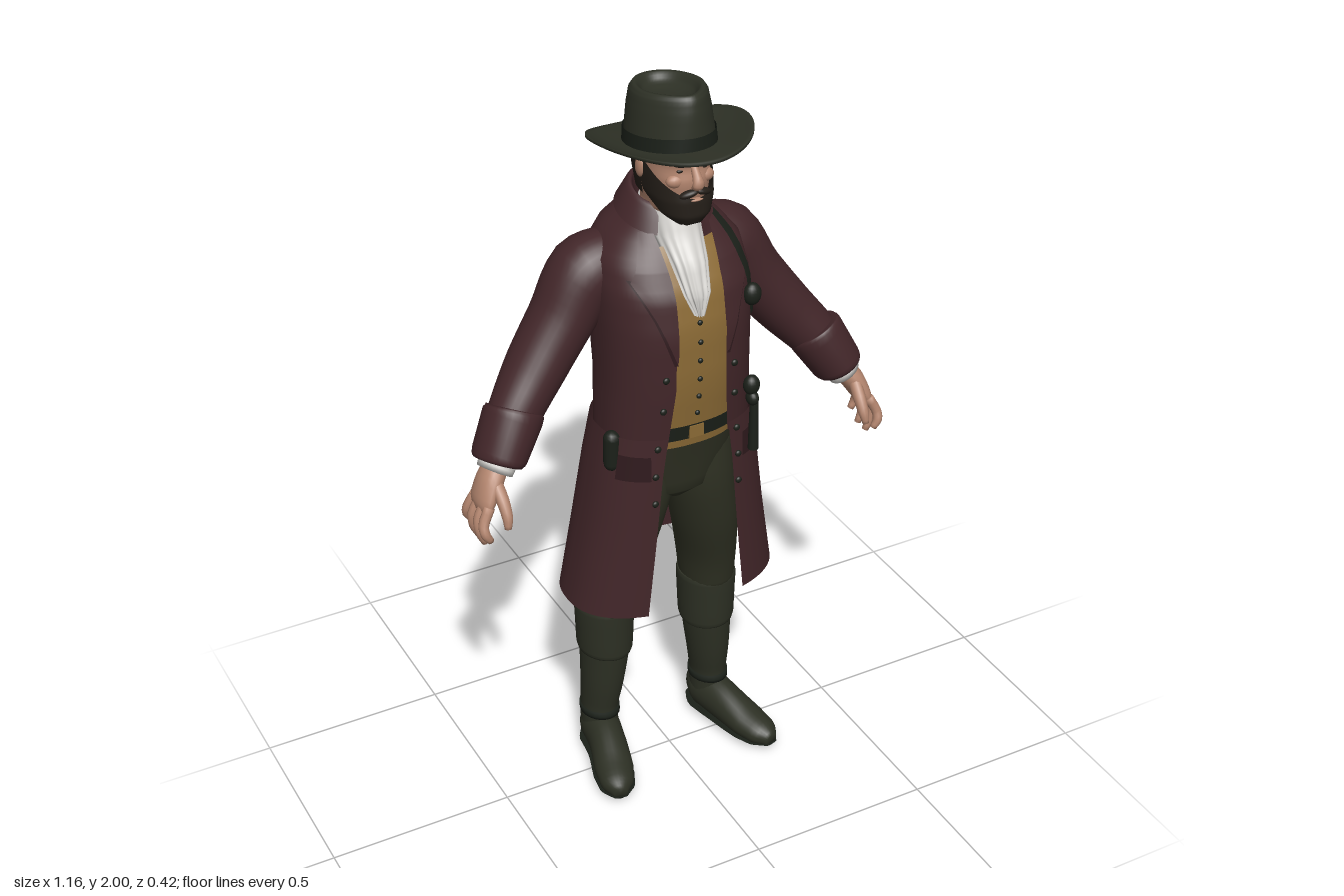
import * as THREE from 'three';
import { mergeVertices } from 'three/addons/utils/BufferGeometryUtils.js';

const material = (name, color) => new THREE.MeshStandardMaterial({ name, color, side: THREE.DoubleSide });
const M = {
  coat: material('coat burgundy', 0x422629), trim: material('dark burgundy', 0x2f1a1d),
  vest: material('vest mustard', 0x8c6b36), shirt: material('shirt white', 0xd4d2ce),
  pants: material('trouser green', 0x2f3123), boot: material('boot green', 0x2d3024),
  hat: material('hat green', 0x2e3126), skin: material('skin', 0xb4866f),
  hair: material('hair', 0x251f19), gear: material('dark leather', 0x1b2019),
};

// Smooth surface from fn(u, v) -> [x, y, z], welded at seams
function grid(fn, nu, nv) {
  const pos = [], idx = [];
  for (let j = 0; j <= nv; j++) for (let i = 0; i <= nu; i++) pos.push(...fn(i / nu, j / nv));
  for (let j = 0; j < nv; j++) for (let i = 0; i < nu; i++) {
    const a = j * (nu + 1) + i, d = a + nu + 1;
    idx.push(a, a + 1, d + 1, a, d + 1, d);
  }
  let g = new THREE.BufferGeometry();
  g.setAttribute('position', new THREE.Float32BufferAttribute(pos, 3));
  g.setIndex(idx);
  g = mergeVertices(g, 1e-5);
  g.computeVertexNormals();
  return g;
}
function add(parent, name, geo, mat, p = [0, 0, 0], s = [1, 1, 1], r = [0, 0, 0]) {
  const m = new THREE.Mesh(geo, mat);
  m.name = name;
  m.position.set(...p); m.scale.set(...s); m.rotation.set(...r);
  parent.add(m);
}
const ball = new THREE.SphereGeometry(1, 18, 12), box = new THREE.BoxGeometry(1, 1, 1);

// Interpolate rows at a fractional index
function lerpRow(rows, t) {
  const i = Math.min(Math.floor(t), rows.length - 2), f = t - i;
  return rows[i].map((a, k) => a + (rows[i + 1][k] - a) * f);
}
function rowAt(rows, y) {
  let i = 0;
  while (i < rows.length - 2 && y > rows[i + 1][0]) i++;
  return lerpRow(rows, i + THREE.MathUtils.clamp((y - rows[i][0]) / (rows[i + 1][0] - rows[i][0]), 0, 1));
}
// Rows are [y, halfWidth, zFront, zBack, openingHalfWidth]; angle 0 faces front
const N = 2.4, pw = (a) => Math.sign(a) * Math.abs(a) ** (2 / N);
function ring([, rx, zf, zb], y, a, grow = 0) {
  return [(rx + grow) * pw(Math.sin(a)), y, (zf + zb) / 2 + ((zf - zb) / 2 + grow) * pw(Math.cos(a))];
}
const shell = (rows, grow = 0, open = false) => grid((u, v) => {
  const r = lerpRow(rows, v * (rows.length - 1));
  const a0 = open ? Math.asin(Math.min(1, r[4] / r[1]) ** (N / 2)) : 0;
  return ring(r, r[0], a0 + u * (2 * Math.PI - 2 * a0), grow);
}, 72, (rows.length - 1) * 3);
// Depth of the body surface at x, y
function depth(rows, x, y, side = 1, off = 0) {
  const [, rx, zf, zb] = rowAt(rows, y);
  const c = Math.max(0, 1 - (Math.abs(x) / rx) ** N) ** (1 / N);
  return (zf + zb) / 2 + side * ((zf - zb) / 2 * c + off);
}
// Thin plate lying on the body; edges are [y, x0, x1]
const strip = (rows, edges, off, side = 1) => grid((u, v) => {
  const [y, a, b] = lerpRow(edges, v * (edges.length - 1));
  const x = a + (b - a) * u;
  return [x, y, depth(rows, x, y, side, off)];
}, 6, (edges.length - 1) * 5);

// Capped tube through [x, y, z, radius, radiusAlongRef]; the second radius defaults to the first
function tubeFn(pts, n, ref) {
  const rows = pts.map(([x, y, z, a, b = a]) => [x, y, z, a, b]);
  const curve = new THREE.CatmullRomCurve3(rows.map(([x, y, z]) => new THREE.Vector3(x, y, z)));
  return (u, v) => {
    const j = Math.round(v * (n + 2)), t = THREE.MathUtils.clamp((j - 1) / n, 0, 1);
    const k = lerpRow(rows, t * (rows.length - 1)), cap = j === 0 || j === n + 2 ? 0 : 1;
    const c = curve.getPoint(t), T = curve.getTangent(t);
    const B = ref.clone().addScaledVector(T, -ref.dot(T)).normalize();
    const S = new THREE.Vector3().crossVectors(B, T), a = u * 2 * Math.PI;
    c.addScaledVector(S, cap * k[3] * Math.cos(a)).addScaledVector(B, cap * k[4] * Math.sin(a));
    return [c.x, c.y, c.z];
  };
}
const Z = new THREE.Vector3(0, 0, 1), Y = new THREE.Vector3(0, 1, 0);
const tube = (pts, nu = 24, n = 16) => grid(tubeFn(pts, n, Z), nu, n + 2);

const SKIRT = [[0.585, 0.293, 0.162, -0.205, 0.14], [0.8, 0.257, 0.162, -0.187, 0.118], [1, 0.228, 0.162, -0.165, 0.1], [1.115, 0.208, 0.162, -0.15, 0.085]];
const COAT = [[1.09, 0.2, 0.158, -0.142, 0.085], [1.25, 0.195, 0.172, -0.155, 0.07], [1.4, 0.198, 0.174, -0.175, 0.068],
  [1.5, 0.2, 0.155, -0.185, 0.068], [1.57, 0.19, 0.115, -0.185, 0.075], [1.62, 0.15, 0.08, -0.175, 0.08], [1.665, 0.095, 0.05, -0.145, 0.075]];
const HEAD = [[1.58, 0.06, 0.04, -0.08], [1.68, 0.06, 0.06, -0.08], [1.7, 0.062, 0.1, -0.085], [1.74, 0.07, 0.12, -0.09],
  [1.785, 0.076, 0.127, -0.1], [1.815, 0.077, 0.12, -0.1], [1.84, 0.078, 0.125, -0.1], [1.9, 0.074, 0.115, -0.1]];
const BEARD = [[1.666, 0.012, 0.095, 0.05], [1.675, 0.042, 0.125, 0], [1.7, 0.066, 0.14, -0.05], [1.74, 0.078, 0.14, -0.08], [1.79, 0.082, 0.132, -0.1], [1.84, 0.082, 0.13, -0.1]];

// Everything that exists on both sides, made for +x
function buildSide() {
  const g = new THREE.Group();
  add(g, 'sleeve', tube([[0.11, 1.535, -0.06, 0.08], [0.19, 1.505, -0.072, 0.096], [0.265, 1.4, -0.065, 0.082, 0.088], [0.35, 1.29, -0.045, 0.076, 0.082], [0.43, 1.195, -0.008, 0.066], [0.475, 1.13, 0.015, 0.056]], 32, 24), M.coat);
  add(g, 'sleeveCuff', tube([[0.425, 1.215, -0.008, 0.07, 0.074], [0.43, 1.205, -0.004, 0.076, 0.08], [0.485, 1.11, 0.022, 0.066, 0.078], [0.49, 1.1, 0.025, 0.06, 0.07]], 32, 8), M.coat);
  add(g, 'shirtCuff', tube([[0.485, 1.11, 0.024, 0.047, 0.055], [0.502, 1.083, 0.032, 0.044, 0.052]], 24, 3), M.shirt);
  // Hand
  add(g, 'palm', tube([[0.495, 1.1, 0.03, 0.03, 0.036], [0.52, 1.065, 0.04, 0.031, 0.046], [0.543, 1.02, 0.047, 0.024, 0.052], [0.55, 0.998, 0.048, 0.014, 0.045]], 20, 10), M.skin);
  [[0.09, 0.108, 0.935], [0.064, 0.072, 0.91], [0.036, 0.034, 0.912], [0.01, -0.004, 0.935]].forEach(([z0, z1, y]) =>
    add(g, 'finger', tube([[0.545, 1.02, z0, 0.014], [0.566, 0.98, (z0 + z1) / 2, 0.0135], [0.566, (y + 0.98) / 2, z1, 0.0125], [0.553, y, z1, 0.009]], 10, 9), M.skin));
  add(g, 'thumb', tube([[0.515, 1.075, 0.06, 0.017], [0.512, 1.035, 0.098, 0.017], [0.512, 1, 0.122, 0.014], [0.515, 0.972, 0.13, 0.009]], 10, 9), M.skin);
  // Leg, boot and shoe
  add(g, 'trouserLeg', tube([[0.082, 1.04, -0.015, 0.09, 0.11], [0.092, 0.9, -0.015, 0.093, 0.11], [0.12, 0.75, -0.035, 0.09, 0.105], [0.147, 0.6, -0.068, 0.08, 0.097], [0.157, 0.48, -0.08, 0.072, 0.085]]), M.pants);
  add(g, 'bootShaft', tube([[0.172, 0.06, -0.09, 0.05, 0.062], [0.171, 0.15, -0.092, 0.049, 0.061], [0.165, 0.24, -0.083, 0.058, 0.068], [0.158, 0.35, -0.08, 0.067, 0.077], [0.157, 0.45, -0.08, 0.073, 0.083]]), M.boot);
  add(g, 'bootCuff', tube([[0.158, 0.345, -0.08, 0.071, 0.08], [0.157, 0.36, -0.08, 0.075, 0.084], [0.156, 0.49, -0.08, 0.08, 0.089], [0.156, 0.505, -0.08, 0.077, 0.086]], 28, 9), M.boot);
  add(g, 'bootStrap', tube([[0.171, 0.125, -0.09, 0.053, 0.066], [0.171, 0.145, -0.091, 0.053, 0.065]], 24, 2), M.gear);
  const foot = (k) => tubeFn([[0.165, 0.05, -0.15, 0.03, 0.045], [0.17, 0.066, -0.105, 0.054, 0.064], [0.185, 0.062, -0.02, 0.05, 0.06], [0.21, 0.045, 0.07, 0.054, 0.043], [0.228, 0.036, 0.13, 0.045, 0.034], [0.236, 0.03, 0.163, 0.018, 0.02]].map(([x, y, z, a, b]) => [x, y, z, a * k, b * k]), 18, Y);
  const upper = foot(1), lower = foot(1.05);
  add(g, 'shoe', grid((u, v) => { const p = upper(u, v); return [p[0], Math.max(p[1], 0.012), p[2]]; }, 24, 20), M.boot);
  add(g, 'sole', grid((u, v) => { const p = lower(u, v); return [p[0], THREE.MathUtils.clamp(p[1], 0, 0.018), p[2]]; }, 24, 20), M.gear);
  // Lapels, edges, pocket flaps and buttons
  add(g, 'lapel', strip(COAT, [[1.34, 0.068, 0.072], [1.45, 0.066, 0.113], [1.54, 0.066, 0.155], [1.565, 0.068, 0.14], [1.64, 0.075, 0.105]], 0.009), M.coat);
  add(g, 'lapelEdge', strip(COAT, [[1.33, 0.067, 0.077], [1.45, 0.1, 0.118], [1.545, 0.14, 0.161]], 0.006), M.trim);
  add(g, 'pocketFlap', strip(SKIRT, [[1, 0.13, 0.205], [1.07, 0.13, 0.195]], 0.007), M.trim);
  [[0.93, 0.12], [1.01, 0.118], [1.09, 0.112], [1.2, 0.1], [1.29, 0.095]].forEach(([y, x]) =>
    add(g, 'coatButton', ball, M.gear, [x, y, depth(y < 1.1 ? SKIRT : COAT, x, y, 1, 0.003)], [0.009, 0.009, 0.006]));
  // Face features
  add(g, 'eye', ball, M.hair, [0.03, 1.815, 0.112], [0.011, 0.005, 0.005]);
  add(g, 'eyebrow', ball, M.hair, [0.032, 1.832, 0.118], [0.02, 0.005, 0.007], [0, 0.25, 0.1]);
  add(g, 'cheek', ball, M.skin, [0.037, 1.788, 0.102], [0.026, 0.018, 0.018]);
  add(g, 'ear', ball, M.skin, [0.081, 1.795, 0.005], [0.01, 0.028, 0.018], [0.15, 0, 0]);
  add(g, 'moustache', ball, M.hair, [0.02, 1.762, 0.133], [0.024, 0.009, 0.012], [0, 0.35, -0.3]);
  return g;
}

export function createModel() {
  const model = new THREE.Group();
  model.name = 'man in a long coat';
  const left = buildSide(), right = left.clone();
  left.name = 'leftSide'; right.name = 'rightSide'; right.scale.x = -1;
  model.add(left, right);

  // Coat with a rolled collar
  add(model, 'coatSkirt', shell(SKIRT, 0, true), M.coat);
  add(model, 'coatBody', shell(COAT, 0, true), M.coat);
  add(model, 'backVent', strip(SKIRT, [[0.59, -0.006, 0.006], [1.08, -0.003, 0.003]], 0.003, -1), M.trim);
  const roll = [[0.072, -0.02], [0.072, 0.05], [0.079, 0.057], [0.09, 0.045], [0.118, -0.005]];
  add(model, 'collar', grid((u, v) => {
    const a = 0.6 + u * (2 * Math.PI - 1.2), [r, dy] = lerpRow(roll, v * 4);
    return [r * Math.sin(a), 1.635 + 0.025 * (1 - Math.cos(a)) + dy, -0.035 + r * 1.03 * Math.cos(a)];
  }, 40, 8), M.coat);

  // Waistcoat, cravat, belt and hips
  const vestRows = [[1.065, 0.18, 0.145, -0.13], ...COAT.slice(1, 5).map((r) => r.slice(0, 4)), [1.605, 0.15, 0.09, -0.17]];
  add(model, 'vest', shell(vestRows, -0.014), M.vest);
  for (let i = 0; i < 6; i++) add(model, 'vestButton', ball, M.gear, [0, 1.165 + i * 0.052, depth(vestRows, 0, 1.165 + i * 0.052, 1, -0.012)], [0.007, 0.007, 0.005]);
  const cravat = [[1.445, 0.01, 0.164, 0.13], [1.5, 0.036, 0.162, 0.09], [1.57, 0.05, 0.135, 0.02], [1.63, 0.062, 0.095, -0.06], [1.69, 0.064, 0.068, -0.088]];
  add(model, 'cravat', grid((u, v) => {
    const r = lerpRow(cravat, v * 4), a = u * 2 * Math.PI;
    return ring(r, r[0], a, 0.004 * Math.cos(14 * a) * (1 - v));
  }, 84, 16), M.shirt);
  add(model, 'belt', shell([[1.09, 0.18, 0.145, -0.13], [1.132, 0.18, 0.15, -0.13]], -0.006), M.gear);
  add(model, 'buckle', box, M.vest, [0, 1.111, 0.142], [0.04, 0.034, 0.008]);
  add(model, 'trouserHips', shell([[0.86, 0.03, 0.05, -0.08], [0.9, 0.12, 0.09, -0.12], [1, 0.165, 0.11, -0.13], [1.08, 0.17, 0.128, -0.13]]), M.pants);

  // Shoulder strap and hanging gear
  add(model, 'strapFront', strip(COAT, [[1.4, 0.152, 0.172], [1.52, 0.142, 0.164], [1.6, 0.118, 0.142], [1.645, 0.095, 0.115]], 0.012), M.gear);
  add(model, 'strapBack', strip(COAT, [[1.13, 0.07, 0.08], [1.4, 0.095, 0.107], [1.57, 0.115, 0.13], [1.645, 0.095, 0.112]], 0.006, -1), M.gear);
  [[0.16, 1.45, 0.13, 0.024], [0.155, 1.2, 0.145, 0.022], [0.155, 1.165, 0.15, 0.016]].forEach(([x, y, z, s]) =>
    add(model, 'pendant', ball, M.gear, [x, y, z], [s, s * 1.25, 0.02]));
  add(model, 'hangingTool', new THREE.CylinderGeometry(0.011, 0.014, 0.15, 12), M.gear, [0.16, 1.09, 0.152]);
  add(model, 'hipPouch', new THREE.CapsuleGeometry(0.022, 0.07, 4, 12), M.gear, [-0.2, 1.07, 0.07]);

  // Head
  add(model, 'head', shell(HEAD), M.skin);
  add(model, 'nose', tube([[0, 1.828, 0.118, 0.008], [0, 1.805, 0.135, 0.011], [0, 1.786, 0.145, 0.015, 0.012], [0, 1.774, 0.132, 0.012, 0.008]], 14, 9), M.skin);
  add(model, 'beard', grid((u, v) => {
    const s = Math.abs(u * 2 - 1), lo = 1.667 + 0.07 * s ** 2.5, hi = 1.748 + 0.085 * s ** 1.4;
    const y = lo + (hi - lo) * v;
    return ring(rowAt(BEARD, y), y, (u * 2 - 1) * 1.7);
  }, 40, 14), M.hair);
  add(model, 'mouth', ball, M.skin, [0, 1.745, 0.135], [0.018, 0.004, 0.008]);
  add(model, 'hair', grid((u, v) => {
    const y = 1.725 + 0.145 * v;
    return ring(rowAt(HEAD, y), y, 1.6 + u * (2 * Math.PI - 3.2), 0.008);
  }, 32, 8), M.hair);

  // Hat: tilted crown with a teardrop crease, band and curled brim
  const crown = [[0, 0.102, 0.136], [0.035, 0.1, 0.134], [0.09, 0.094, 0.13], [0.125, 0.088, 0.123], [0.138, 0.08, 0.112], [0.137, 0.07, 0.1], [0.118, 0.055, 0.082], [0.108, 0.03, 0.05], [0.106, 0, 0]];
  const hatRing = ([h, rx, rz], a, grow = 0) => {
    const z = (rz + grow) * Math.cos(a), pinch = 1 - 2.2 * h * Math.max(0, Math.cos(a)) ** 2;
    return [(rx + grow) * Math.sin(a) * pinch, 1.848 + h + (0.16 - 0.4 * h) * z, z];
  };
  add(model, 'hatCrown', grid((u, v) => hatRing(lerpRow(crown, v * 8), u * 2 * Math.PI), 48, 24), M.hat);
  add(model, 'hatBand', grid((u, v) => hatRing(lerpRow(crown, v), u * 2 * Math.PI, 0.004), 48, 3), M.gear);
  add(model, 'hatBrim', grid((u, v) => {
    const a = u * 2 * Math.PI, t = (1 - Math.abs(v * 2 - 1)) * 17 / 16, under = v > 0.5 ? 0.008 : 0;
    const x = (0.096 + 0.1 * t) * Math.sin(a), z = (0.13 + 0.082 * t) * Math.cos(a);
    return [x, 1.848 + 0.155 * z + 0.04 * t * t * Math.sin(a) ** 2 - 0.006 * t - under, z];
  }, 64, 17), M.hat);
  return model;
}
